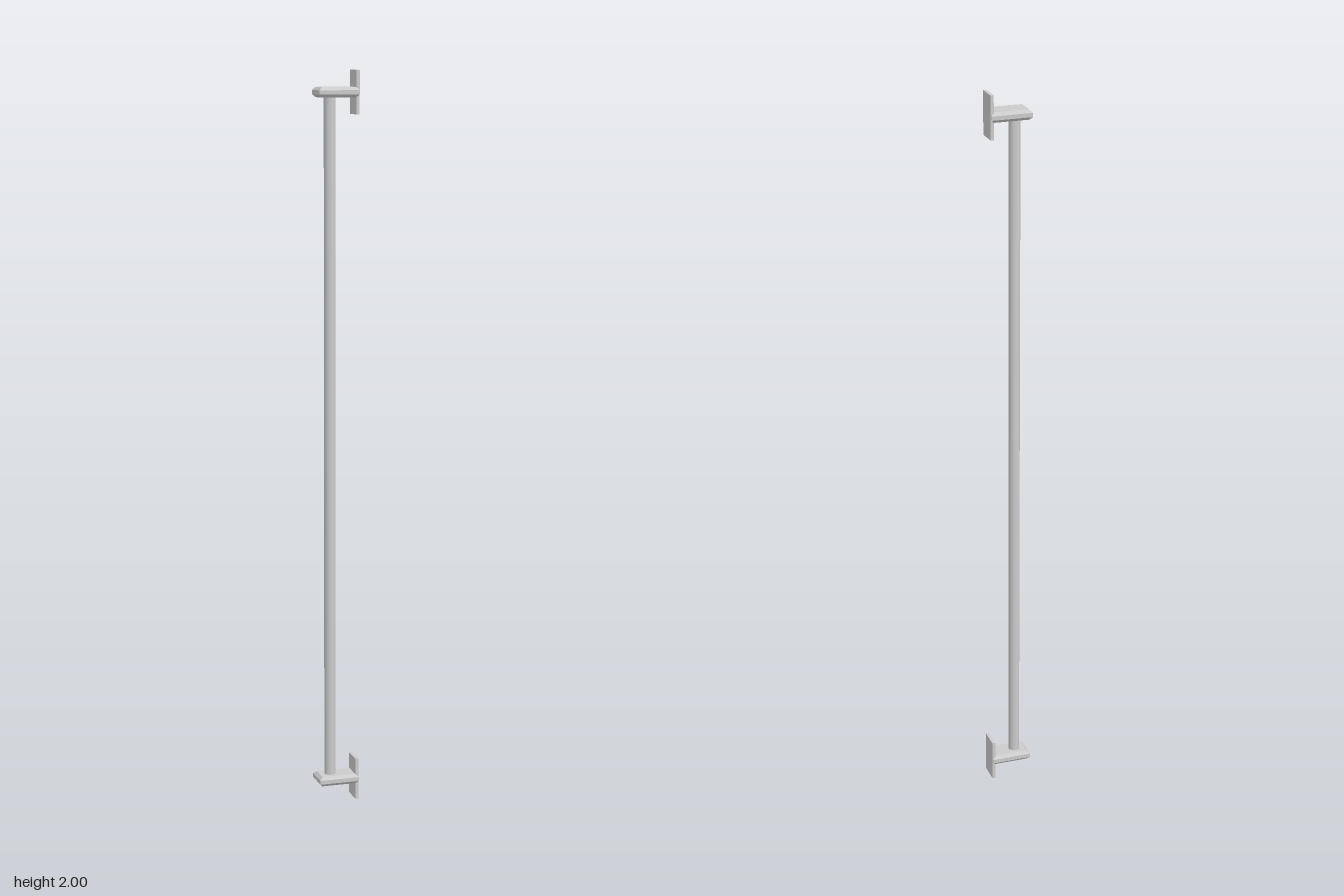
import * as THREE from 'three';

const material = new THREE.MeshStandardMaterial({ color: 0xcccccc });

function part(name, geometry, x, y, z) {
  const mesh = new THREE.Mesh(geometry, material);
  mesh.name = name;
  mesh.position.set(x, y, z);
  return mesh;
}

// Flat slab with chamfered rims; its inner end is buried in the mounting plate
function armGeometry() {
  const bevel = 0.008, core = 0.011;
  const x0 = -0.056 + bevel, x1 = 0.055 - bevel, w = 0.035 - bevel;
  const outline = new THREE.Shape([
    new THREE.Vector2(x0, -w), new THREE.Vector2(x1, -w),
    new THREE.Vector2(x1, w), new THREE.Vector2(x0, w),
  ]);
  const geometry = new THREE.ExtrudeGeometry(outline, {
    depth: core, bevelEnabled: true, bevelSegments: 1, bevelSize: bevel, bevelThickness: bevel,
  });
  return geometry.translate(0, 0, -core / 2).rotateX(-Math.PI / 2);
}

function bracket(name, y) {
  const group = new THREE.Group();
  group.name = name;
  group.add(part('arm', armGeometry(), 0, 0, 0));
  group.add(part('mountingPlate', new THREE.BoxGeometry(0.009, 0.116, 0.058), 0.0515, 0, 0));
  group.position.y = y;
  return group;
}

export function createModel() {
  const model = new THREE.Group();
  model.name = 'wallMountedBar';
  const inset = 0.058;

  // Upper and lower brackets
  model.add(bracket('lowerBracket', inset));
  model.add(bracket('upperBracket', 2 - inset));

  // Round bar between the brackets
  model.add(part('bar', new THREE.CylinderGeometry(0.0155, 0.0155, 2 - 2 * inset, 24), -0.018, 1, 0));
  return model;
}
